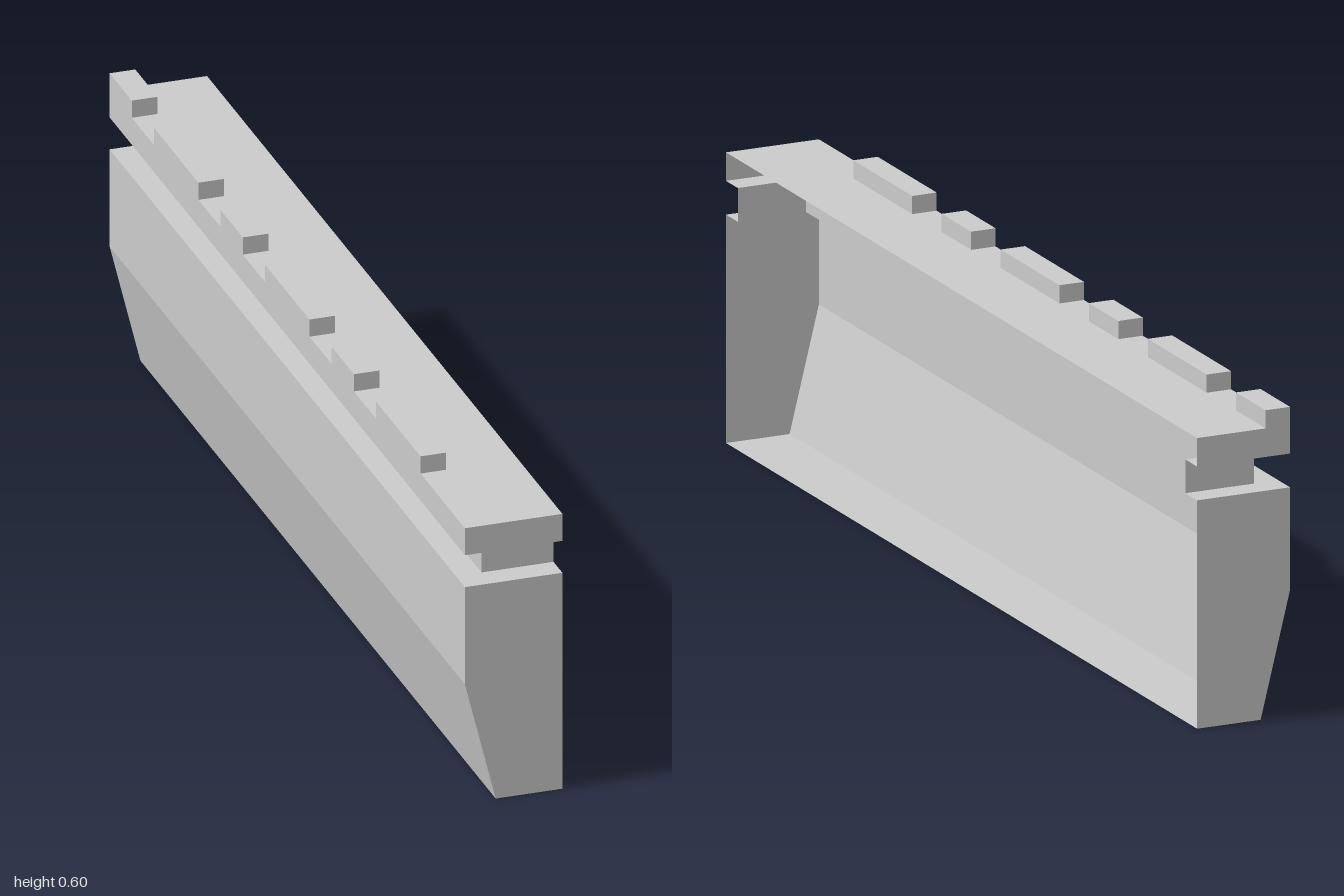
import * as THREE from 'three';
import { mergeGeometries } from 'three/addons/utils/BufferGeometryUtils.js';

const LEFT = 0.095, EDGE = -0.095, INNER = -0.045; // open side, outer wall, recessed wall
const Y = { ledge: 0.44, slab: 0.505, top: 0.56, tooth: 0.595 };
const END = 1, NECK_END = 0.95;
const TEETH = [[-1, -0.875], [-0.75, -0.5], [-0.375, -0.25], [-0.125, 0.125], [0.25, 0.375], [0.5, 0.75]];

const material = new THREE.MeshStandardMaterial({ color: 0xcccccc, flatShading: true, side: THREE.DoubleSide });
const shapeOf = (pts) => new THREE.Shape(pts.map(([a, b]) => new THREE.Vector2(a, b)));

// Thin walls following an open x/y profile from z0 to z1
function walls(profile, z0, z1) {
  const pos = [];
  for (let i = 0; i < profile.length - 1; i++) {
    const [a, b] = [profile[i], profile[i + 1]];
    pos.push(...a, z0, ...a, z1, ...b, z1, ...a, z0, ...b, z1, ...b, z0);
  }
  const g = new THREE.BufferGeometry();
  g.setAttribute('position', new THREE.Float32BufferAttribute(pos, 3));
  g.computeVertexNormals();
  return g;
}

// Flat end plate at z, facing away from the middle (dir = 1 or -1)
function cap(outline, z, dir) {
  const g = new THREE.ShapeGeometry(shapeOf(outline.map(([x, y]) => [x * dir, y])));
  if (dir < 0) g.rotateY(Math.PI);
  return g.translate(0, 0, z);
}

// Flat horizontal sheet from an x/z outline, facing up (dir = 1) or down (-1)
function sheet(outline, y, dir) {
  return new THREE.ShapeGeometry(shapeOf(outline.map(([x, z]) => [x, -z * dir])))
    .rotateX(-dir * Math.PI / 2).translate(0, y, 0);
}

// Hollow trough: profile walls, two end plates and any extra sheets
function shell(name, profile, closing, z0, z1, sheets = []) {
  const outline = [...profile, ...closing];
  const parts = [walls(profile, z0, z1), cap(outline, z1, 1), cap(outline, z0, -1), ...sheets]
    .map((g) => {
      const flat = g.index ? g.toNonIndexed() : g;
      flat.deleteAttribute('uv');
      return flat;
    });
  const mesh = new THREE.Mesh(mergeGeometries(parts), material);
  mesh.name = name;
  return mesh;
}

export function createModel() {
  const model = new THREE.Group();
  model.name = 'hollowRail';

  // U-shaped ledge left around the recessed neck
  const ledge = [
    [LEFT, -END], [EDGE, -END], [EDGE, END], [LEFT, END],
    [LEFT, NECK_END], [INNER, NECK_END], [INNER, -NECK_END], [LEFT, -NECK_END],
  ];

  // Lower body with a slanted outer wall
  model.add(shell('lowerBody',
    [[LEFT, 0], [-0.035, 0], [EDGE, 0.242], [EDGE, Y.ledge]], [[LEFT, Y.ledge]],
    -END, END, [sheet(ledge, Y.ledge, 1)]));

  // Recessed neck
  model.add(shell('neck',
    [[INNER, Y.ledge], [INNER, Y.slab]], [[LEFT, Y.slab], [LEFT, Y.ledge]],
    -NECK_END, NECK_END));

  // Top slab, notched open beneath each hollow tooth
  const topOutline = [[LEFT, END], [LEFT, -END]];
  if (TEETH[0][0] > -END) topOutline.push([EDGE, -END]);
  TEETH.forEach(([a, b]) => {
    if (a > -END) topOutline.push([EDGE, a]);
    topOutline.push([INNER, a], [INNER, b], [EDGE, b]);
  });
  topOutline.push([EDGE, END]);
  model.add(shell('topSlab',
    [[EDGE, Y.slab], [EDGE, Y.top]], [[LEFT, Y.top], [LEFT, Y.slab]],
    -END, END, [sheet(ledge, Y.slab, -1), sheet(topOutline, Y.top, 1)]));

  // Row of alternating short and long teeth
  const teeth = new THREE.Group();
  teeth.name = 'teeth';
  TEETH.forEach(([a, b], i) => teeth.add(shell(`tooth${i + 1}`,
    [[EDGE, Y.top], [EDGE, Y.tooth], [INNER, Y.tooth], [INNER, Y.top]], [], a, b)));
  model.add(teeth);

  return model;
}
